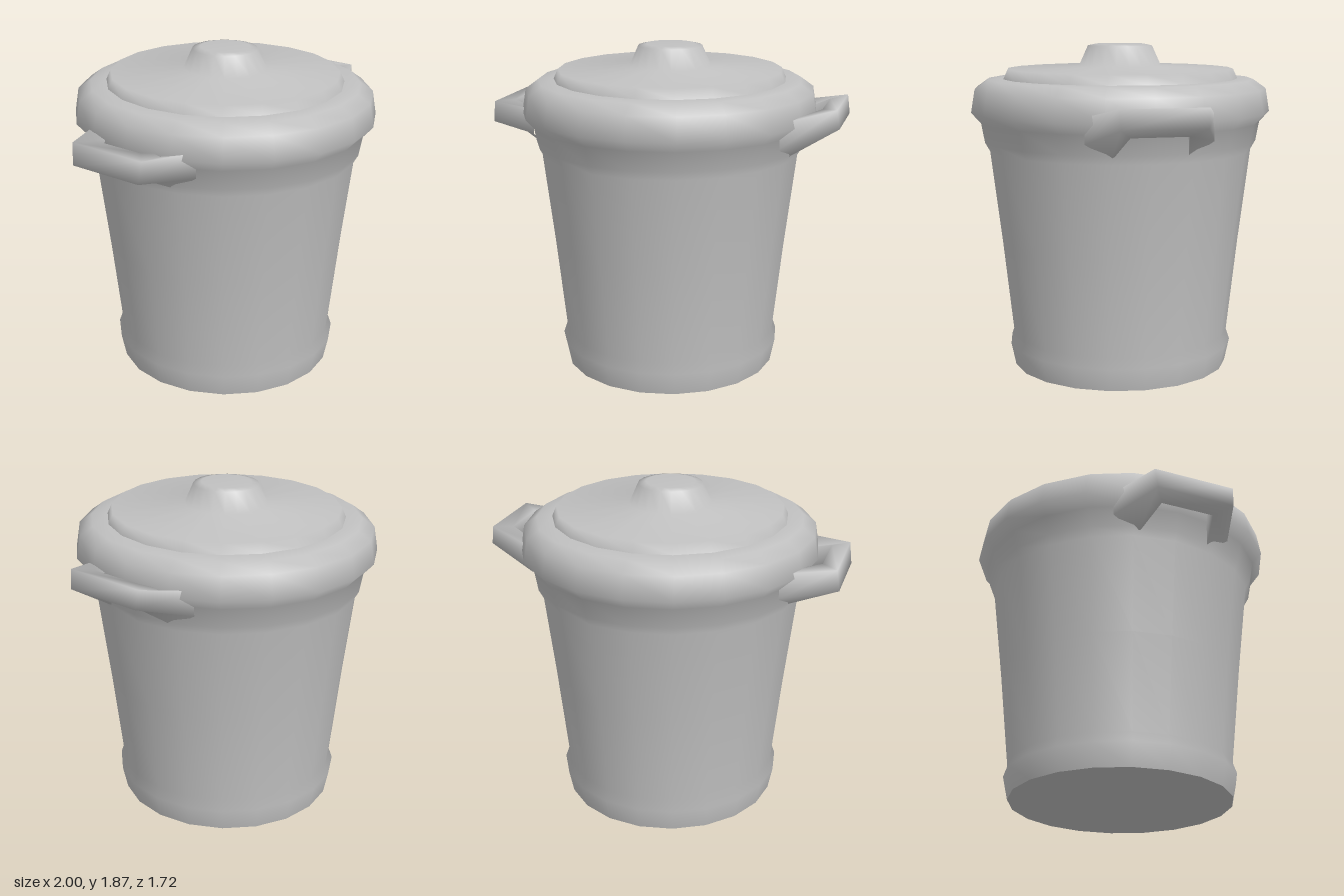
import * as THREE from 'three';

const metal = new THREE.MeshStandardMaterial({ color: 0xc0c0c0 });
metal.name = 'grey metal';

// Smooth round part from [radius, height] pairs, listed bottom to top
function turned(name, profile) {
  const points = profile.map(([r, y]) => new THREE.Vector2(r, y));
  const mesh = new THREE.Mesh(new THREE.LatheGeometry(points, 20), metal);
  mesh.name = name;
  mesh.scale.x = 0.98;
  return mesh;
}

// Bracket handle: four-cornered sections swept root, corner, corner, root.
// Each section: outer top, outer bottom, inner bottom, inner top.
function handle(name, [outTop, outBottom, inBottom, inTop]) {
  const root = [[0.70, 1.52, 0.35], [0.70, 1.38, 0.35], [0.70, 1.29, 0.21], [0.70, 1.48, 0.19]];
  const bend = [[0.985, outTop, 0.235], [1, outBottom, 0.225], [0.895, inBottom, 0.155], [0.895, inTop, 0.155]];
  const flip = (s) => s.map(([x, y, z]) => [x, y, -z]);
  const sections = [root, bend, flip(bend), flip(root)];
  const index = [];
  for (let s = 0; s < 3; s++) {
    for (let k = 0; k < 4; k++) {
      const a = s * 4 + k, b = s * 4 + (k + 1) % 4;
      index.push(a, b, a + 4, b, b + 4, a + 4);
    }
  }
  const geometry = new THREE.BufferGeometry();
  geometry.setAttribute('position', new THREE.Float32BufferAttribute(sections.flat(2), 3));
  geometry.setIndex(index);
  geometry.computeVertexNormals();
  const mesh = new THREE.Mesh(geometry, metal);
  mesh.name = name;
  return mesh;
}

export function createModel() {
  const bin = new THREE.Group();
  bin.name = 'lidded bin';

  // Flat underside
  bin.add(turned('base', [[0, 0], [0.628, 0]]));

  // Tapered body with a foot band, flaring collar and rolled rim
  bin.add(turned('body', [
    [0.628, 0], [0.655, 0.13], [0.634, 0.19], [0.692, 0.73],
    [0.757, 1.27], [0.785, 1.32], [0.805, 1.43], [0.86, 1.49],
    [0.838, 1.62], [0.765, 1.672], [0.675, 1.675],
  ]));

  // Raised lid with its knob
  bin.add(turned('lid', [
    [0.675, 1.675], [0.65, 1.73], [0.235, 1.75], [0.185, 1.86], [0.14, 1.87], [0, 1.87],
  ]));

  // Handles, the right one hanging a little lower
  bin.add(handle('leftHandle', [1.585, 1.48, 1.43, 1.57]));
  const right = handle('rightHandle', [1.53, 1.41, 1.39, 1.53]);
  right.rotation.y = Math.PI;
  bin.add(right);

  return bin;
}
